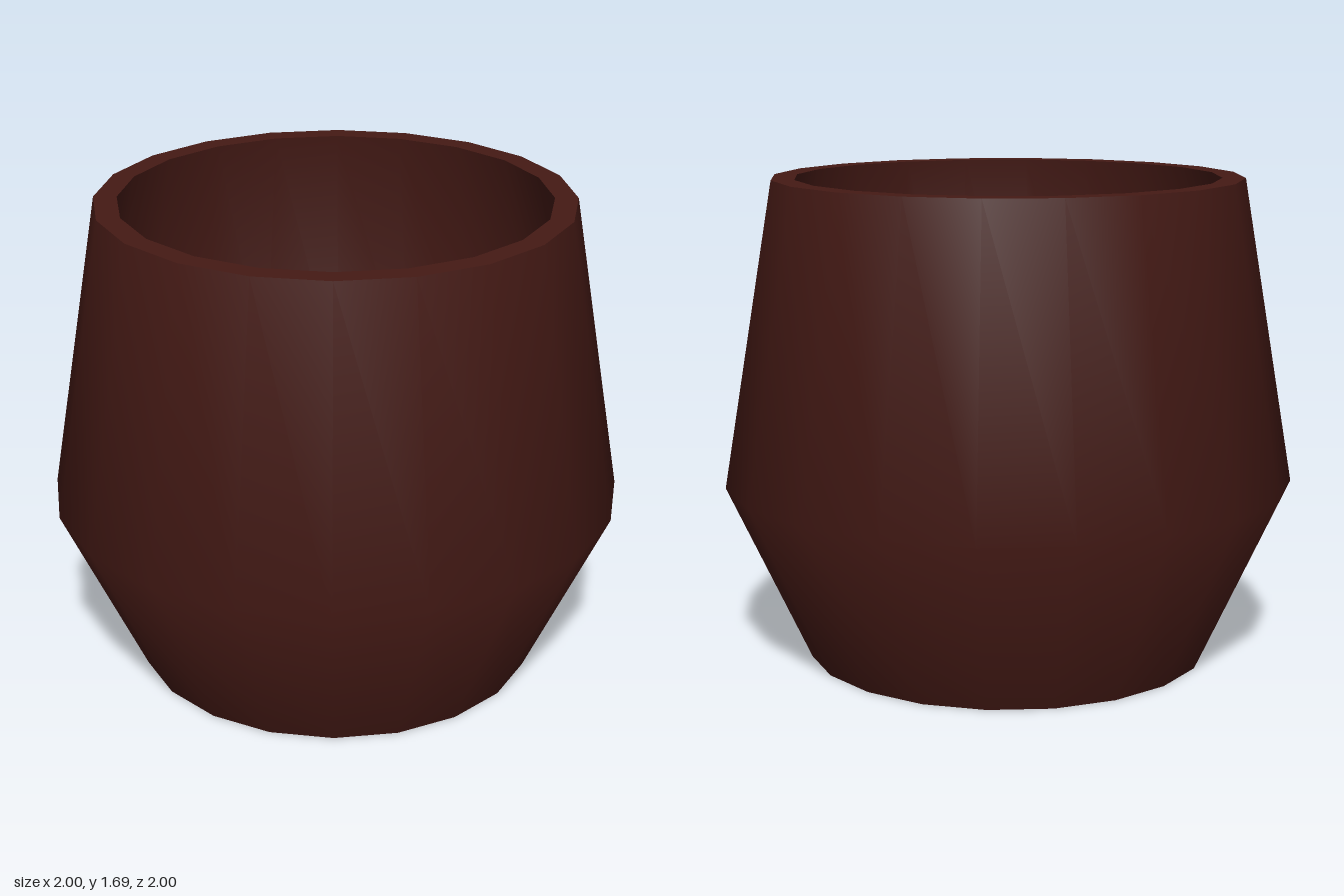
import * as THREE from 'three';
import { toCreasedNormals } from 'three/addons/utils/BufferGeometryUtils.js';

export function createModel() {
  const group = new THREE.Group();
  group.name = 'tumbler';

  const material = new THREE.MeshStandardMaterial({ color: 0x451a15 });

  // Closed wall section: recessed foot, flared outside, rim, hollow inside, floor
  const profile = [
    [0, 0.05], [0.64, 0.05], [0.64, 0],
    [0.71, 0], [1, 0.63], [0.82, 1.69],
    [0.74, 1.69], [0.92, 0.63], [0.68, 0.12], [0, 0.12],
  ].map(([r, y]) => new THREE.Vector2(r, y));

  // Twenty-sided body, smooth around the belly and sharp at rim and foot
  const geometry = toCreasedNormals(new THREE.LatheGeometry(profile, 20), 0.9);
  const cup = new THREE.Mesh(geometry, material);
  cup.name = 'cupBody';
  group.add(cup);

  return group;
}
